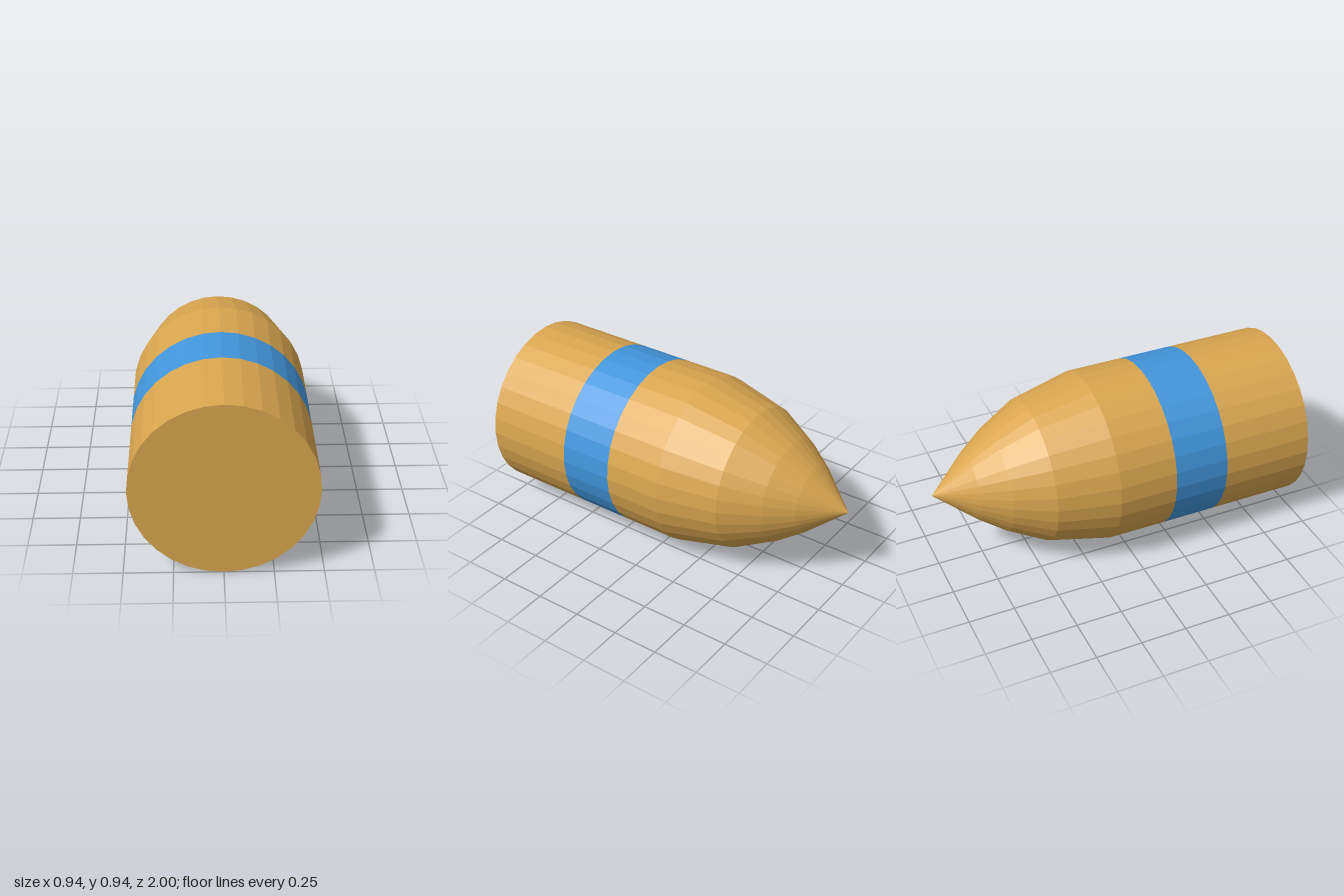
import * as THREE from 'three';

const RADIUS = 0.47, SIDES = 32;

// Turn a profile of [radius, z] pairs, listed from front to back, around the long axis
function turned(name, profile, color) {
  const points = profile.map(([r, z]) => new THREE.Vector2(r, -z));
  const geometry = new THREE.LatheGeometry(points, SIDES).rotateX(-Math.PI / 2);
  const material = new THREE.MeshStandardMaterial({ color, flatShading: true });
  const mesh = new THREE.Mesh(geometry, material);
  mesh.name = name;
  mesh.position.y = RADIUS;
  return mesh;
}

export function createModel() {
  const brass = 0xd9a650, blue = 0x4296dc;
  const group = new THREE.Group();
  group.name = 'bullet';
  group.add(
    // Casing with its flat closed base
    turned('casing', [[0, 1], [RADIUS, 1], [RADIUS, 0.5]], brass),
    // Painted band, flush with the body
    turned('band', [[RADIUS, 0.5], [RADIUS, 0.2]], blue),
    // Straight shoulder ahead of the band
    turned('shoulder', [[RADIUS, 0.2], [RADIUS, -0.12]], brass),
    // Faceted nose tapering to a point
    turned('nose', [[RADIUS, -0.12], [0.395, -0.445], [0.285, -0.65], [0.185, -0.79], [0, -1]], brass),
  );
  return group;
}
